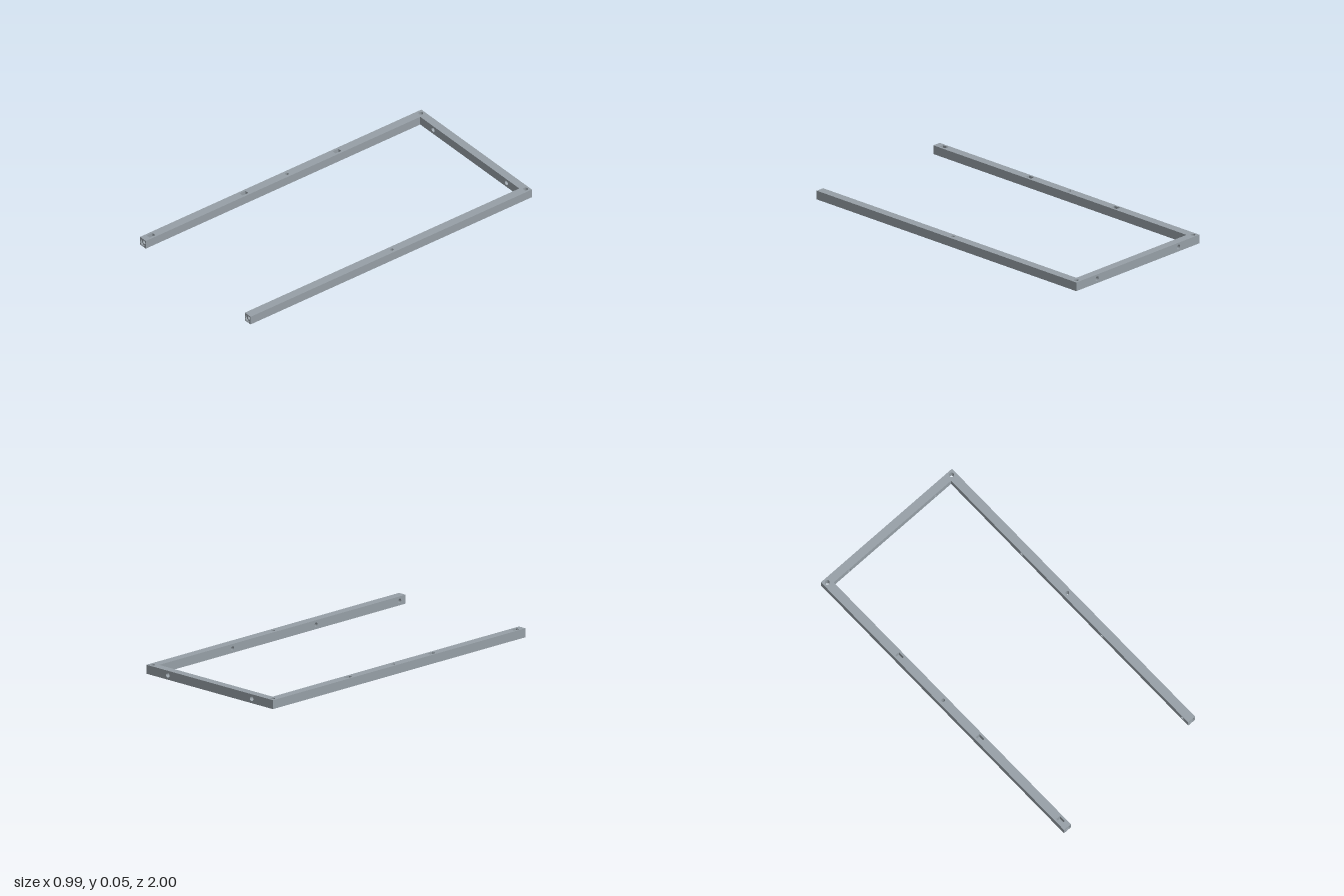
import * as THREE from 'three';

const W = 0.497;          // half width of the frame
const S = 0.052;          // section of the square bars
const T = 0.049;          // thickness of the back bar
const C = W - S / 2;      // centre line of each side rail
const IN = W - S;         // inner face of each side rail
const POCKETS = [-0.38, 0.281, 0.943];

const material = new THREE.MeshStandardMaterial({ color: 0x969fa6 });

// Counter-clockwise outlines
const rect = (x, y, w, h) => [[-1, -1], [1, -1], [1, 1], [-1, 1]]
  .map(([a, b]) => new THREE.Vector2(x + a * w / 2, y + b * h / 2));
const circle = (x, y, r, n = 28) => Array.from({ length: n }, (_, i) =>
  new THREE.Vector2(x + r * Math.cos(i / n * 2 * Math.PI), y + r * Math.sin(i / n * 2 * Math.PI)));

// Flat face with openings
function face(points, holes = []) {
  const shape = new THREE.Shape(points);
  shape.holes = holes.map((h) => new THREE.Path(h.points));
  return new THREE.ShapeGeometry(shape);
}

// Inward-facing walls of an opening, sunk along -z
function walls(points, depth) {
  const position = [];
  points.forEach((a, i) => {
    const b = points[(i + 1) % points.length];
    position.push(a.x, a.y, 0, b.x, b.y, 0, b.x, b.y, -depth);
    position.push(a.x, a.y, 0, b.x, b.y, -depth, a.x, a.y, -depth);
  });
  const geometry = new THREE.BufferGeometry();
  geometry.setAttribute('position', new THREE.Float32BufferAttribute(position, 3));
  geometry.computeVertexNormals();
  return geometry;
}

// A face plus the walls and floors of everything cut into it
function panel(name, points, holes, position, rotation = [0, 0, 0]) {
  const group = new THREE.Group();
  group.name = name;
  const add = (part, geometry, z) => {
    const mesh = new THREE.Mesh(geometry, material);
    mesh.name = part;
    mesh.position.z = z;
    group.add(mesh);
  };
  const cut = (hole, z) => {
    if (!hole.depth) return;
    add('holeWall', walls(hole.points, hole.depth), z);
    if (!hole.blind) return;
    const inner = hole.next ? [hole.next] : [];
    add('holeFloor', face(hole.points, inner), z - hole.depth);
    if (hole.next) cut(hole.next, z - hole.depth);
  };
  add('surface', face(points, holes), 0);
  holes.forEach((hole) => cut(hole, 0));
  group.position.set(...position);
  group.rotation.set(...rotation);
  return group;
}

// U-shaped outline; dir maps z to the local y axis
function uOutline(dir) {
  const pts = [[-W, -1], [W, -1], [W, 1], [IN, 1], [IN, -1 + T], [-IN, -1 + T], [-IN, 1], [-W, 1]]
    .map(([x, z]) => new THREE.Vector2(x, dir * z));
  return dir < 0 ? pts.reverse() : pts;
}

// Vertical holes through the corners and the rail middles
const verticalHoles = (dir, depth) => [-1, 1].flatMap((s) => [
  { points: circle(s * C, dir * (-1 + T / 2), 0.0135), depth },
  { points: circle(s * C, dir * -0.023, 0.0105), depth },
]);

export function createModel() {
  const frame = new THREE.Group();
  frame.name = 'frame';
  const q = Math.PI / 2;

  // Top and bottom of the frame; the right-hand rail has pockets on top
  const topPockets = POCKETS.map((z) => ({ points: rect(-C, -z, 0.026, 0.04), depth: 0.04, blind: true }));
  frame.add(panel('frameTop', uOutline(-1), [...verticalHoles(-1, S), ...topPockets], [0, S, 0], [-q, 0, 0]));
  frame.add(panel('frameBottom', uOutline(1), verticalHoles(1, 0), [0, 0, 0], [q, 0, 0]));

  // Back bar with two cross holes
  const barHoles = (depth) => [-1, 1].map((s) => ({ points: circle(s * 0.329, 0, 0.0137), depth }));
  frame.add(panel('backBarOuter', rect(0, 0, 2 * W, S), barHoles(T), [0, S / 2, -1], [0, Math.PI, 0]));
  frame.add(panel('backBarInner', rect(0, 0, 2 * IN, S), barHoles(0), [0, S / 2, -1 + T]));

  // Side rails
  for (const s of [-1, 1]) {
    const side = s > 0 ? 'left' : 'right';
    frame.add(panel(side + 'RailOuter', rect(0, 0, 2, S), [], [s * W, S / 2, 0], [0, s * q, 0]));

    // The left-hand rail has round sockets on the inner face
    const sockets = s > 0
      ? POCKETS.map((z) => ({ points: circle(z + 0.01 - T / 2, 0, 0.0125), depth: 0.04, blind: true })) : [];
    frame.add(panel(side + 'RailInner', rect(0, 0, 2 - T, S), sockets, [s * IN, S / 2, T / 2], [0, -s * q, 0]));

    // Stepped bore in the open end
    const bore = {
      points: circle(0, 0, 0.0235), depth: 0.003, blind: true,
      next: {
        points: circle(0, 0, 0.0215), depth: 0.006, blind: true,
        next: { points: circle(0, 0, 0.011), depth: 0.02, blind: true },
      },
    };
    frame.add(panel(side + 'RailEnd', rect(0, 0, S, S), [bore], [s * C, S / 2, 1]));
  }
  return frame;
}
